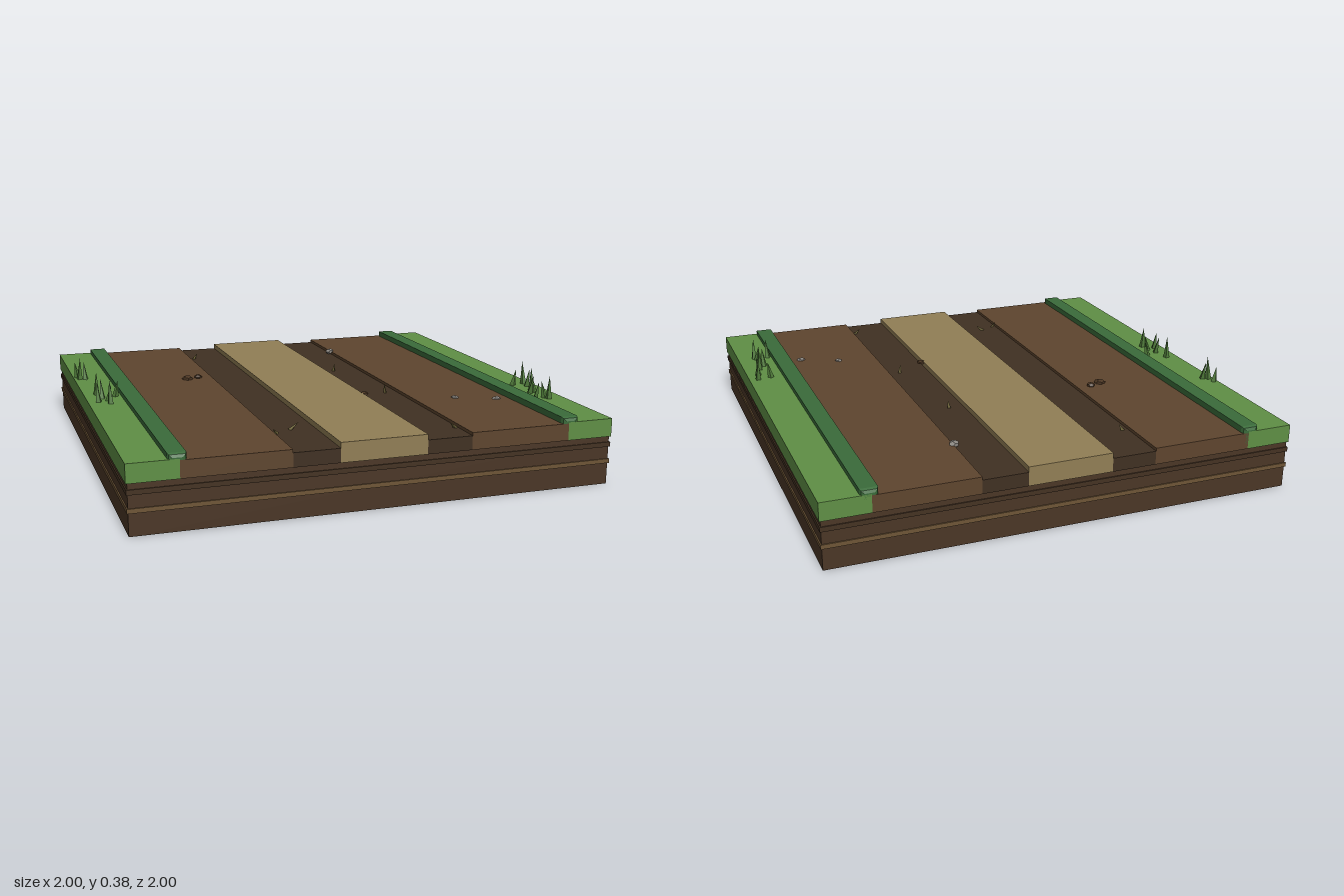
import * as THREE from 'three';

const mat = (color) => new THREE.MeshStandardMaterial({ color, flatShading: true });
const soil = mat(0x4a3626), soilDark = mat(0x443222), soilLight = mat(0x6e5536);
const grass = mat(0x5f8f45), curbGreen = mat(0x3a6b3a), bladeGreen = mat(0x4f7a3a);
const dirt = mat(0x5e452e), rutDirt = mat(0x403022), sand = mat(0x917e55);
const clod = mat(0x4a3522), stone = mat(0x8a8680), straw = mat(0x6b6238);

export function createModel() {
  const model = new THREE.Group();

  const add = (parent, name, geometry, material, x, y, z) => {
    const mesh = new THREE.Mesh(geometry, material);
    mesh.name = name;
    mesh.position.set(x, y, z);
    parent.add(mesh);
    return mesh;
  };
  // Full-length slab between two x values and two heights
  const slab = (name, x0, x1, y0, y1, material, depth = 2) =>
    add(model, name, new THREE.BoxGeometry(x1 - x0, y1 - y0, depth), material, (x0 + x1) / 2, (y0 + y1) / 2, 0);

  // Soil block with two strata standing slightly proud
  slab('soilBase', -0.994, 0.994, 0, 0.204, soil, 1.988);
  slab('upperStratum', -0.999, 0.999, 0.16, 0.18, soilDark, 1.998);
  slab('lowerStratum', -0.999, 0.999, 0.09, 0.108, soilLight, 1.998);

  // Path surface: raised middle, sunken ruts, dirt shoulders, grass verges
  slab('pathCentre', -0.18, 0.18, 0.204, 0.285, sand);
  for (const side of [-1, 1]) {
    const strip = (name, a, b, top, material) =>
      slab(name, Math.min(a * side, b * side), Math.max(a * side, b * side), 0.204, top, material);
    strip('wheelRut', 0.18, 0.37, 0.262, rutDirt);
    strip('dirtShoulder', 0.37, 0.8, 0.275, dirt);
    strip('grassVerge', 0.8, 1, 0.28, grass);

    // Chamfered edging between dirt and grass
    const w = 0.02, h = 0.03;
    const profile = new THREE.Shape([[-w, -h], [w, -h], [w, h], [-w, h]].map(([x, y]) => new THREE.Vector2(x, y)));
    const edging = new THREE.ExtrudeGeometry(profile, {
      depth: 1.968, bevelEnabled: true, bevelThickness: 0.016, bevelSize: 0.016, bevelSegments: 2,
    });
    edging.translate(0, 0, -0.984);
    add(model, 'edging', edging, curbGreen, 0.808 * side, 0.255, 0);
  }

  // Grass blades: narrow four-sided cones, leaning a little
  const blade = new THREE.ConeGeometry(0.015, 0.1, 4);
  blade.translate(0, 0.05, 0);
  const tufts = [
    [[-0.98, -0.44], [-0.975, -0.4], [-0.95, -0.39]],
    [[-0.945, -0.07], [-0.93, 0.01], [-0.87, -0.015]],
    [[-0.955, 0.07], [-0.91, 0.055], [-0.91, 0.11]],
    [[0.9, 0.34], [0.96, 0.33], [0.95, 0.38]],
    [[0.93, 0.46], [0.9, 0.5], [0.925, 0.49]],
    [[0.86, 0.62], [0.915, 0.6], [0.925, 0.62]],
  ];
  tufts.forEach((points, t) => {
    const tuft = new THREE.Group();
    tuft.name = 'grassTuft';
    model.add(tuft);
    points.forEach(([x, z], i) => {
      const mesh = add(tuft, 'grassBlade', blade, bladeGreen, x, 0.277, z);
      mesh.scale.y = [0.75, 1.05, 0.88][(i + t) % 3];
      mesh.rotation.set(0.16 * Math.sin(t * 3 + i * 2), i + t, 0.14 * Math.cos(t * 2 + i * 2));
    });
  });

  // Clods and pebbles: flattened low-poly lumps
  const lump = new THREE.DodecahedronGeometry(1, 0);
  const lumps = [
    ['clod', clod, -0.49, 0.279, -0.26, 0.027], ['clod', clod, -0.435, 0.279, -0.28, 0.021],
    ['clod', clod, 0.19, 0.28, 0.285, 0.02],
    ['pebble', stone, 0.365, 0.275, -0.67, 0.025], ['pebble', stone, 0.55, 0.276, 0.46, 0.018],
    ['pebble', stone, 0.715, 0.276, 0.535, 0.02],
  ];
  lumps.forEach(([name, material, x, y, z, r], i) => {
    const mesh = add(model, name, lump, material, x, y, z);
    mesh.scale.set(r, r * 0.55, r * 0.9);
    mesh.rotation.y = i * 1.3;
  });

  // Dry sprigs lying in the ruts: x, z, lean, height
  const sprig = new THREE.ConeGeometry(0.01, 1, 3);
  sprig.translate(0, 0.5, 0);
  const sprigs = [
    [-0.345, -0.76, -0.5, 0.035], [-0.35, 0.73, 0.6, 0.03], [-0.285, 0.69, -0.85, 0.05],
    [0.245, -0.27, -0.1, 0.04], [0.315, 0.23, 0.15, 0.045], [0.36, 0.87, 0.8, 0.04],
  ];
  for (const [x, z, lean, height] of sprigs) {
    const mesh = add(model, 'drySprig', sprig, straw, x, 0.259, z);
    mesh.scale.y = height;
    mesh.rotation.z = lean;
  }

  return model;
}
